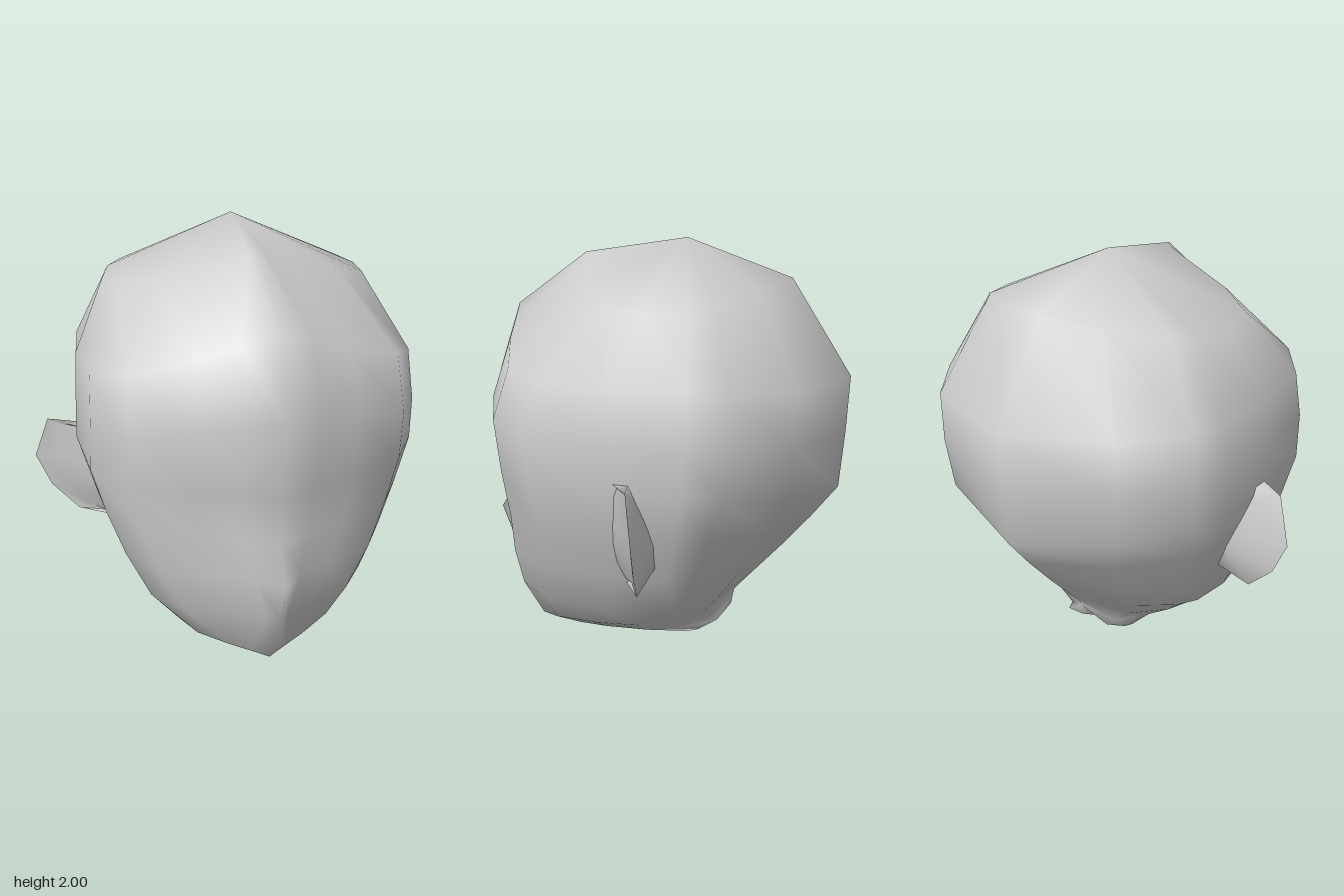
import * as THREE from 'three';

// Two sided, as the neck is open and the ears are thin sheets
const skin = new THREE.MeshStandardMaterial({ color: 0xcccccc, side: THREE.DoubleSide });
skin.name = 'plain grey';

// Half outline of a head slice, front to back: [share of half width, share of depth]
const outline = [[0, 1], [0.2, 0.93], [0.45, 0.85], [0.79, 0.7], [0.96, 0.46],
  [1, 0], [0.96, -0.36], [0.89, -0.53], [0.63, -0.82], [0, -1]];
const loop = [...outline, ...outline.slice(1, -1).reverse().map(([x, z]) => [-x, z])];

// Slices, crown to neck: [front z, front y, half width, side z, side y, back z, back y,
// front taper, back taper], where a higher taper is more pointed
const slices = [
  [0.38, 1.925, 0.605, -0.1, 1.735, -0.61, 1.83, 1.8, 1.8],
  [0.74, 1.67, 0.755, 0, 1.42, -0.89, 1.4, 1, 1],
  [0.855, 1.35, 0.77, 0, 1.2, -0.88, 1.14, 1, 1],
  [0.81, 0.98, 0.78, 0, 1.0, -0.86, 0.87, 1, 1.15],
  [0.785, 0.76, 0.72, 0.02, 0.78, -0.74, 0.71, 1, 1.4],
  [0.82, 0.59, 0.645, 0.02, 0.56, -0.6, 0.54, 1.15, 1.5],
  [0.81, 0.38, 0.545, 0.09, 0.345, -0.46, 0.38, 1.5, 1.5],
  [0.65, 0.07, 0.4, 0.23, 0.2, -0.39, 0.3, 1, 1.3],
  [0.55, 0.035, 0.22, 0.23, 0.09, -0.375, 0.28, 0.7, 1],
  [0.2, 0.05, 0.19, -0.08, 0.1, -0.37, 0.26, 1, 1],
];
const NOSE = 5;

function slicePoints([zf, yf, w, zs, ys, zb, yb, taperF, taperB], i) {
  return loop.map(([tx, tz], j) => {
    const [zEnd, yEnd, taper] = tz > 0 ? [zf, yf, taperF] : [zb, yb, taperB];
    const out = Math.abs(tx) ** taper;
    const bump = i === NOSE && j === 0 ? 0.07 : 0;
    return [Math.sign(tx) * out * w, THREE.MathUtils.lerp(yEnd, ys, out),
      zs + (zEnd - zs) * Math.abs(tz) + bump];
  });
}

function surface(points, index) {
  const g = new THREE.BufferGeometry();
  g.setAttribute('position', new THREE.Float32BufferAttribute(points.flat(), 3));
  g.setIndex(index);
  g.computeVertexNormals();
  return g;
}

function mesh(name, geometry) {
  const m = new THREE.Mesh(geometry, skin);
  m.name = name;
  return m;
}

// Skull, face and jaw, running down to the open neck edge
const neckEdge = [[0, 0, 0.11], [0.17, 0.1, -0.13], [0, 0.2, -0.36], [-0.17, 0.1, -0.13]];
function headGeometry() {
  const n = loop.length;
  const points = [[0, 2, -0.12]];
  const index = [];
  slices.forEach((s, i) => points.push(...slicePoints(s, i)));
  // The neck edge is a diamond, so spread its sides evenly over the loop
  loop.forEach((_, j) => {
    const t = (j / n) * 4;
    const k = Math.floor(t);
    const a = neckEdge[k], b = neckEdge[(k + 1) % 4];
    points.push(a.map((v, c) => THREE.MathUtils.lerp(v, b[c], t - k)));
  });
  for (let j = 0; j < n; j++) {
    const next = (j + 1) % n;
    index.push(0, 1 + j, 1 + next);
    for (let i = 0; i < slices.length; i++) {
      const a = 1 + i * n + j, b = 1 + i * n + next;
      index.push(a, a + n, b + n, a, b + n, b);
    }
  }
  return surface(points, index);
}

// Ear lines from top to bottom: front root, outer rim and back root
const earRoot = [[0.765, 1.04, -0.01], [0.75, 0.98, 0], [0.72, 0.85, 0.01],
  [0.69, 0.75, 0.02], [0.65, 0.65, 0.02], [0.6, 0.555, 0]];
const earRim = [[0.775, 1.045, -0.02], [0.905, 1.055, -0.12], [0.975, 0.85, -0.165],
  [0.91, 0.69, -0.155], [0.785, 0.555, -0.125], [0.64, 0.55, -0.03]];
const earBack = [[0.75, 1.04, -0.08], [0.75, 0.98, -0.11], [0.72, 0.85, -0.15],
  [0.66, 0.75, -0.17], [0.6, 0.65, -0.17], [0.56, 0.555, -0.14]];

// Hollow of the ear, set back from the straight line between root and rim
const earHollow = earRim.map((p, k) =>
  p.map((v, c) => THREE.MathUtils.lerp(earRoot[k][c], v, 0.65) - (c === 2 ? 0.025 : 0)));

function earSheet(side, lines) {
  const n = earRim.length;
  const points = lines.flat().map(([x, y, z]) => [x * side, y, z]);
  const index = [];
  for (let r = 0; r < lines.length - 1; r++) {
    for (let k = 0; k < n - 1; k++) {
      const a = r * n + k;
      const quad = [a, a + n, a + 1 + n, a, a + 1 + n, a + 1];
      index.push(...(side > 0 ? quad : quad.reverse()));
    }
  }
  return surface(points, index);
}

export function createModel() {
  const model = new THREE.Group();
  model.name = 'headBust';
  model.add(mesh('head', headGeometry()));
  for (const side of [1, -1]) {
    const ear = new THREE.Group();
    ear.name = side > 0 ? 'leftEar' : 'rightEar';
    ear.add(mesh('earFront', earSheet(side, [earRim, earHollow, earRoot])));
    ear.add(mesh('earBack', earSheet(side, [earBack, earRim])));
    model.add(ear);
  }
  return model;
}
